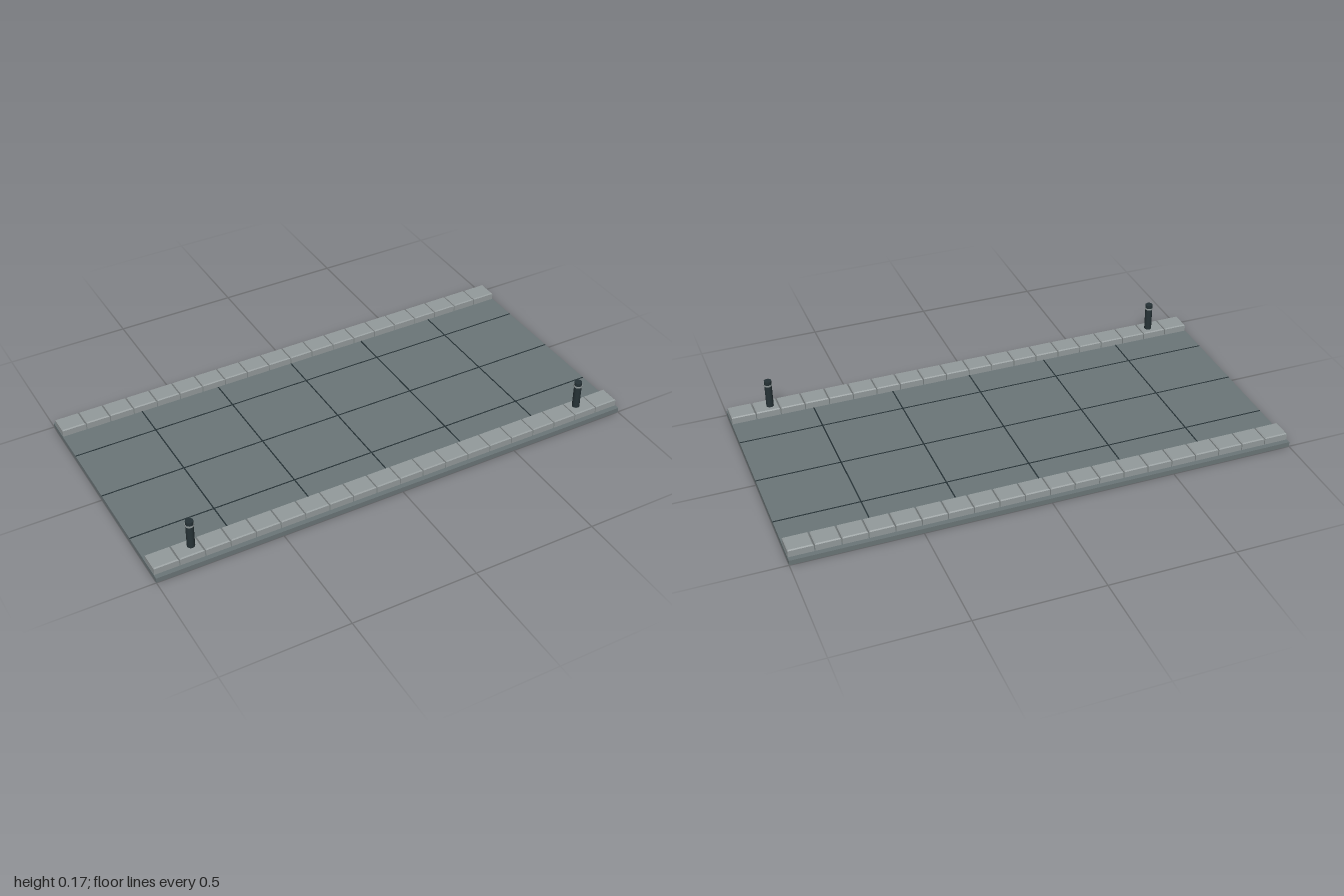
import * as THREE from 'three';

const mat = (name, color) => {
  const m = new THREE.MeshStandardMaterial({ color });
  m.name = name;
  return m;
};

export function createModel() {
  const model = new THREE.Group();
  model.name = 'pavementSection';
  const paving = mat('paving grey', 0x6b7678);
  const stone = mat('kerb stone', 0x949b9c);
  const dark = mat('dark iron', 0x263236);
  const bandGrey = mat('band grey', 0x8f9798);

  const add = (parent, name, geometry, material, x, y, z) => {
    const mesh = new THREE.Mesh(geometry, material);
    mesh.name = name;
    mesh.position.set(x, y, z);
    parent.add(mesh);
    return mesh;
  };

  // Base slab
  add(model, 'slab', new THREE.BoxGeometry(2, 0.02, 1), paving, 0, 0.01, 0);

  // Thin joints between the paving panels
  for (let i = -2; i <= 2; i++) {
    add(model, 'crossJoint', new THREE.BoxGeometry(0.005, 0.002, 0.8), dark, i / 3, 0.02, 0);
  }
  for (let i = -1; i <= 1; i++) {
    add(model, 'longJoint', new THREE.BoxGeometry(2, 0.002, 0.005), dark, 0, 0.02, i * 0.265);
  }

  // Kerb stone: a block with small bevels around its upright faces and top
  const w = 0.096, d = 0.08, b = 0.004;
  const outline = new THREE.Shape();
  outline.moveTo(-w / 2 + b, -d / 2 + b);
  outline.lineTo(w / 2 - b, -d / 2 + b);
  outline.lineTo(w / 2 - b, d / 2 - b);
  outline.lineTo(-w / 2 + b, d / 2 - b);
  outline.closePath();
  const kerbGeometry = new THREE.ExtrudeGeometry(outline, {
    depth: 0.04, bevelEnabled: true, bevelSize: b, bevelThickness: b, bevelSegments: 1,
  });
  kerbGeometry.rotateX(-Math.PI / 2);

  // A row of twenty stones along each long edge
  for (const side of [-1, 1]) {
    const row = new THREE.Group();
    row.name = side > 0 ? 'frontKerb' : 'backKerb';
    for (let i = 0; i < 20; i++) {
      add(row, 'kerbStone', kerbGeometry, stone, -0.95 + i * 0.1, 0.006, side * 0.44);
    }
    model.add(row);
  }

  // Bollards on the front kerb
  for (const side of [-1, 1]) {
    const bollard = new THREE.Group();
    bollard.name = side > 0 ? 'leftBollard' : 'rightBollard';
    bollard.position.set(side * 0.835, 0, 0.435);
    add(bollard, 'post', new THREE.CylinderGeometry(0.015, 0.015, 0.118, 16), dark, 0, 0.108, 0);
    add(bollard, 'band', new THREE.CylinderGeometry(0.017, 0.017, 0.006, 16), bandGrey, 0, 0.149, 0);
    model.add(bollard);
  }

  return model;
}
